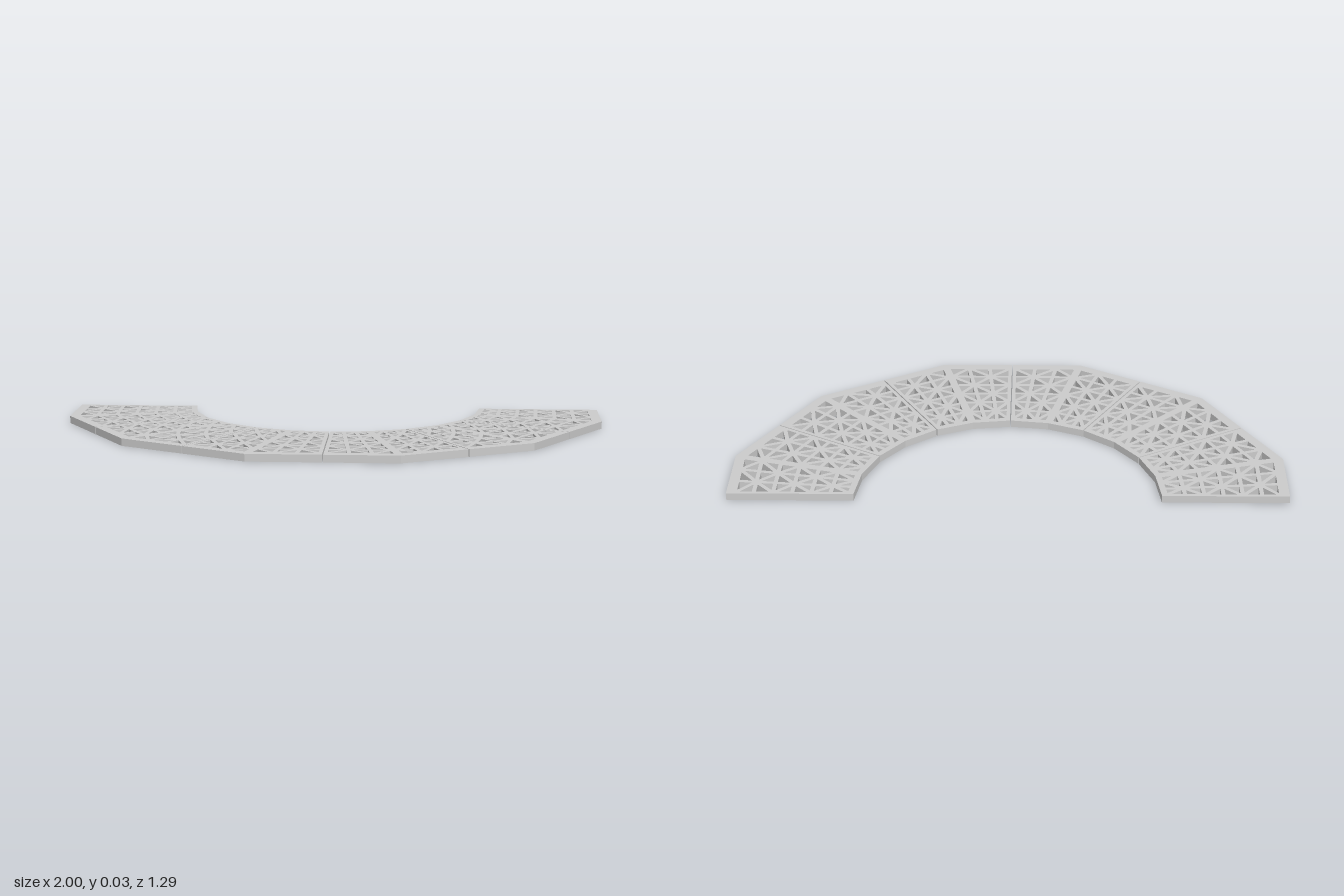
import * as THREE from 'three';

const R_OUT = 1.035, R_IN = 0.547, HEIGHT = 0.027, GAP = 0.002;
const STEP = Math.PI / 6, HALF = STEP / 2;
const ROWS = 6, COLS = 3, STRUT = 0.015;
const V = (x, y) => new THREE.Vector2(x, y);

// point at a radius along the module's side, moved inwards by s
const sidePoint = (r, s) => V(r * Math.sin(HALF) - s * Math.cos(HALF), r * Math.cos(HALF) + s * Math.sin(HALF));

// triangle shrunk about its incentre so that a strut is left between neighbours
function triangleHole(p, mirror) {
  const a = p[1].distanceTo(p[2]), b = p[2].distanceTo(p[0]), c = p[0].distanceTo(p[1]);
  const sum = a + b + c;
  const centre = V(0, 0).addScaledVector(p[0], a / sum).addScaledVector(p[1], b / sum).addScaledVector(p[2], c / sum);
  const area = Math.abs(p[1].clone().sub(p[0]).cross(p[2].clone().sub(p[0]))) / 2;
  const radius = (2 * area) / sum;
  const scale = (radius - STRUT / 2) / radius;
  const pts = p.map((q) => centre.clone().lerp(q, scale));
  return new THREE.Path(pts.map((q) => V(q.x * mirror, q.y)));
}

// one 30 degree panel: solid rim, central rib and triangulated lattice
function panelGeometry() {
  const apothem = R_OUT * Math.cos(HALF);
  const outer = sidePoint(apothem, GAP), inner = sidePoint(R_IN, GAP);
  const shape = new THREE.Shape([
    V(0, R_IN), inner, outer, V(0, R_OUT), V(-outer.x, outer.y), V(-inner.x, inner.y),
  ]);

  // lattice corners in one half of the panel
  const in0 = V(0.007, R_IN + 0.014), out0 = V(0.007, R_OUT - 0.032);
  const in1 = sidePoint(R_IN + 0.014, 0.008), out1 = sidePoint(apothem - 0.03, 0.008);
  const node = (i, j) => in0.clone().lerp(out0, j / ROWS).lerp(in1.clone().lerp(out1, j / ROWS), i / COLS);

  for (const mirror of [1, -1]) {
    for (let j = 0; j < ROWS; j++) {
      for (let i = 0; i < COLS; i++) {
        const a = node(i, j), b = node(i + 1, j), c = node(i + 1, j + 1), d = node(i, j + 1);
        const pair = (i + j) % 2 ? [[a, b, c], [a, c, d]] : [[a, b, d], [b, c, d]];
        for (const tri of pair) shape.holes.push(triangleHole(tri, mirror));
      }
    }
  }
  const geometry = new THREE.ExtrudeGeometry(shape, { depth: HEIGHT, bevelEnabled: false });
  geometry.rotateX(Math.PI / 2);
  geometry.translate(0, HEIGHT, 0);
  return geometry;
}

export function createModel() {
  const model = new THREE.Group();
  model.name = 'curvedGrating';
  const material = new THREE.MeshStandardMaterial({ color: 0xcccccc, flatShading: true });
  const geometry = panelGeometry();

  // six panels around the arc, from the right end to the left end
  for (let k = 0; k < 6; k++) {
    const panel = new THREE.Mesh(geometry, material);
    panel.name = `latticePanel${k + 1}`;
    panel.rotation.y = (k - 2) * STEP;
    panel.position.set(-0.035, 0, -0.388);
    model.add(panel);
  }
  return model;
}
